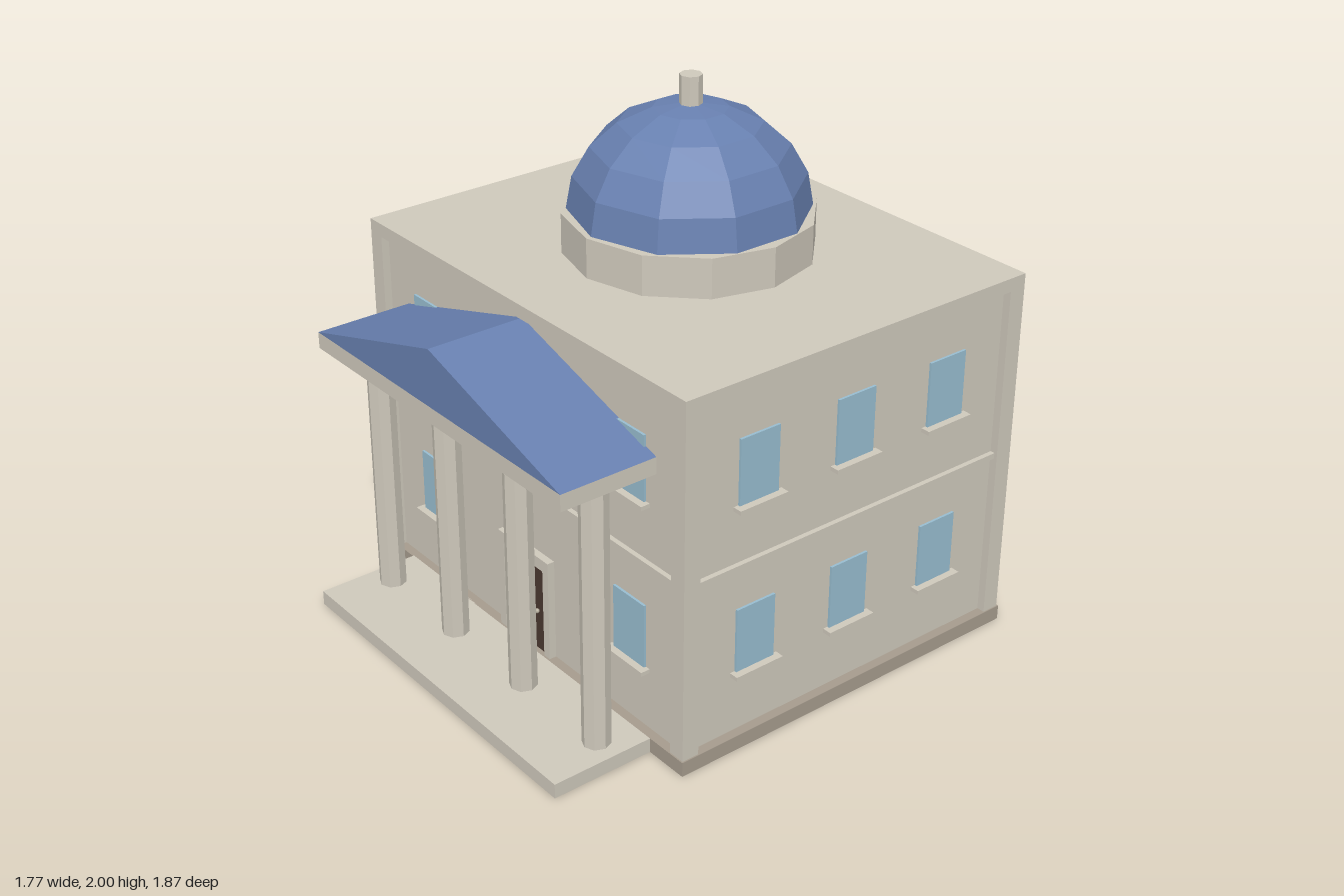
import * as THREE from 'three';

export function createModel() {
  const model = new THREE.Group();
  model.name = 'domedHall';
  const mat = (name, color) => {
    const m = new THREE.MeshStandardMaterial({ color, flatShading: true });
    m.name = name;
    return m;
  };
  const stone = mat('stone', 0xcfc9bc);
  const plinthStone = mat('plinthStone', 0xa69c8e);
  const blue = mat('roofBlue', 0x6880b0);
  const glass = mat('glass', 0x98bdd0);
  const wood = mat('doorWood', 0x4a3830);
  const metal = mat('knobMetal', 0xb8b0a0);

  const add = (name, geo, material, x = 0, y = 0, z = 0, parent = model) => {
    const m = new THREE.Mesh(geo, material);
    m.name = name;
    m.position.set(x, y, z);
    parent.add(m);
    return m;
  };
  // box given by its limits on each axis
  const block = (name, material, x0, x1, y0, y1, z0, z1, parent = model) =>
    add(name, new THREE.BoxGeometry(x1 - x0, y1 - y0, z1 - z0), material,
      (x0 + x1) / 2, (y0 + y1) / 2, (z0 + z1) / 2, parent);

  const W = 0.88, back = -0.93, front = 0.54, midZ = (back + front) / 2;
  const recess = 0.03, post = 0.066, top = 1.38;

  // main body: plinth, recessed walls, corner posts and roof slab
  block('plinth', plinthStone, -W - 0.005, W + 0.005, 0, 0.055, back - 0.005, front + 0.005);
  block('walls', stone, -W + recess, W - recess, 0.05, 1.34, back + recess, front - recess);
  block('roofSlab', stone, -W, W, 1.33, top, back, front);
  for (const s of [-1, 1]) {
    const x0 = s > 0 ? W - post : -W;
    block('cornerPost', stone, x0, x0 + post, 0.05, 1.33, front - post, front);
    block('cornerPost', stone, x0, x0 + post, 0.05, 1.33, back, back + post);
  }

  // one facade in local space: wall plane at z = 0, facing +z
  const facade = (name, width, columns, x, z, turn, skipLower = []) => {
    const g = new THREE.Group();
    g.name = name;
    g.position.set(x, 0, z);
    g.rotation.y = turn;
    block('beltCourse', stone, -width / 2, width / 2, 0.685, 0.707, -0.005, 0.018, g);
    for (const base of [0.285, 0.915]) {
      columns.forEach((cx, i) => {
        if (base < 0.5 && skipLower.includes(i)) return;
        block('window', glass, cx - 0.081, cx + 0.081, base, base + 0.245, 0, 0.009, g);
        block('windowSill', stone, cx - 0.1, cx + 0.1, base - 0.01, base + 0.005, -0.005, 0.035, g);
      });
    }
    model.add(g);
  };
  const four = [-0.57, -0.19, 0.19, 0.57], three = [-0.413, 0, 0.413];
  const wide = 2 * (W - post), deep = front - back - 2 * post;
  facade('frontFacade', wide, four, 0, front - recess, 0, [1, 2]);
  facade('backFacade', wide, four, 0, back + recess, Math.PI);
  facade('leftFacade', deep, three, W - recess, midZ, Math.PI / 2);
  facade('rightFacade', deep, three, -W + recess, midZ, -Math.PI / 2);

  // door with frame and knob
  const wall = front - recess;
  for (const s of [-1, 1]) {
    const c = s * 0.131;
    block('doorJamb', stone, c - 0.016, c + 0.016, 0.05, 0.445, wall - 0.005, wall + 0.028);
  }
  block('doorLintel', stone, -0.115, 0.115, 0.4, 0.445, wall - 0.005, wall + 0.028);
  block('door', wood, -0.115, 0.115, 0.05, 0.4, wall - 0.005, wall + 0.016);
  add('doorKnob', new THREE.SphereGeometry(0.009, 8, 6), metal, 0.077, 0.22, wall + 0.027);

  // portico: floor, columns, beam and gabled roof
  block('porticoFloor', stone, -0.717, 0.717, 0, 0.055, front, 0.935);
  for (const x of [-0.62, -0.207, 0.207, 0.62])
    add('column', new THREE.CylinderGeometry(0.05, 0.05, 0.99, 8), stone, x, 0.548, 0.693);
  block('porticoBeam', stone, -0.703, 0.703, 1.042, 1.103, wall, 0.88);
  const gable = new THREE.Shape();
  gable.moveTo(-0.703, 0);
  gable.lineTo(0.703, 0);
  gable.lineTo(0, 0.212);
  gable.closePath();
  add('porticoRoof', new THREE.ExtrudeGeometry(gable, { depth: 0.88 - wall, bevelEnabled: false }),
    blue, 0, 1.103, wall);

  // drum, faceted dome and finial
  const domeZ = -0.197, drumTop = 1.525;
  add('drum', new THREE.CylinderGeometry(0.443, 0.443, drumTop - top, 12), stone, 0, (drumTop + top) / 2, domeZ);
  const profile = [];
  for (let i = 0; i <= 5; i++) {
    const a = (i / 5) * Math.PI / 2;
    profile.push(new THREE.Vector2(i === 5 ? 0 : 0.423 * Math.cos(a), 0.378 * Math.sin(a)));
  }
  add('dome', new THREE.LatheGeometry(profile, 10), blue, 0, drumTop, domeZ);
  add('finial', new THREE.CylinderGeometry(0.04, 0.04, 0.12, 8), stone, 0, 1.94, domeZ);

  return model;
}
